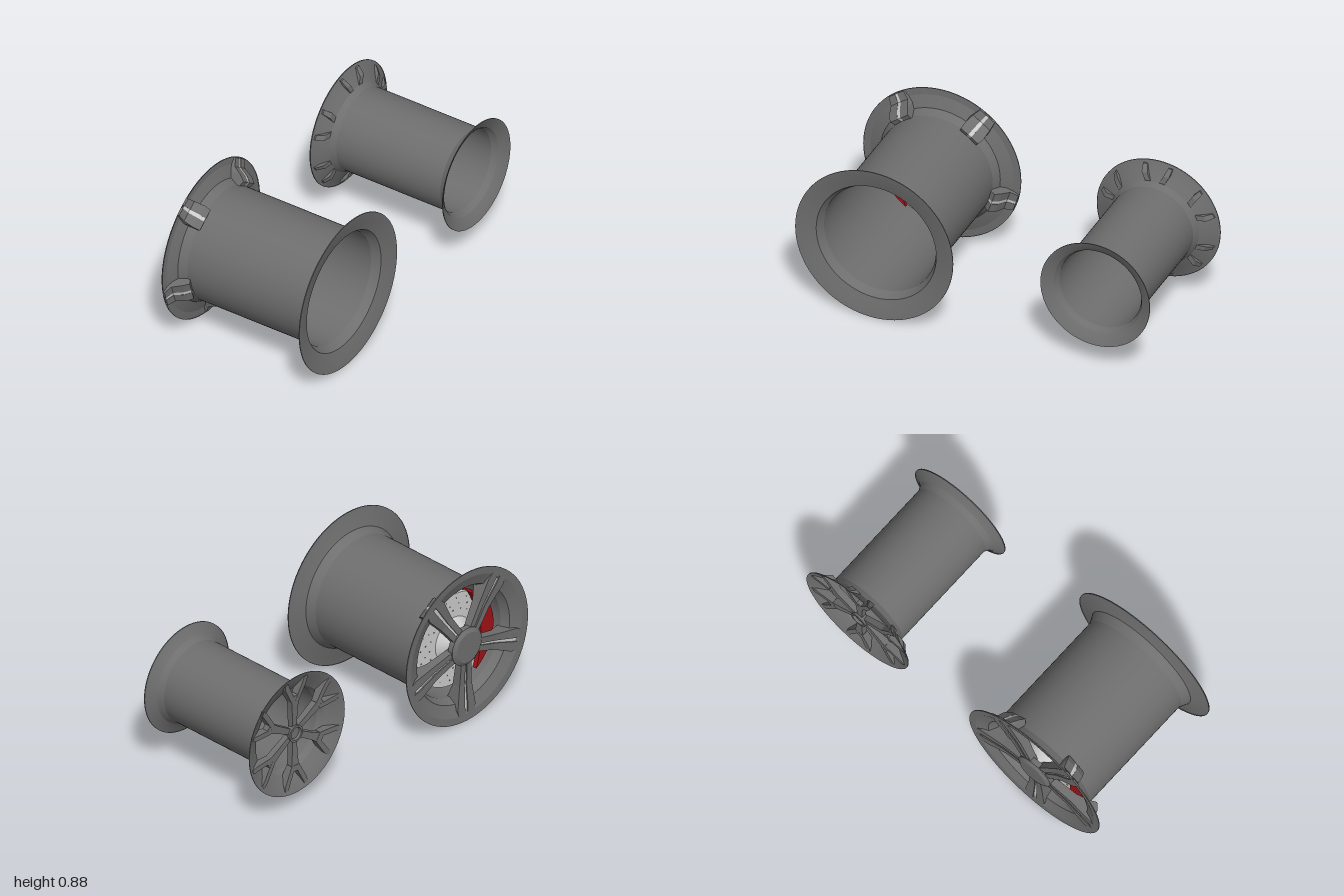
import * as THREE from 'three';
import { toCreasedNormals } from 'three/addons/utils/BufferGeometryUtils.js';

const material = (color) => new THREE.MeshStandardMaterial({ color, side: THREE.DoubleSide });
const dark = material(0x6e6e6e);
const light = material(0xcccccc);
const red = material(0xa01215);

function addMesh(parent, name, geometry, mat) {
  const mesh = new THREE.Mesh(geometry, mat);
  mesh.name = name;
  parent.add(mesh);
  return mesh;
}

// Turned part around the x axis; profile is a list of [x, radius]
function turned(profile) {
  const points = profile.map(([x, r]) => new THREE.Vector2(r, x));
  const g = new THREE.LatheGeometry(points, 72);
  g.rotateZ(-Math.PI / 2);
  return toCreasedNormals(g, 0.25);
}

// Four-sided bar along +y; each section is [radius, frontX, backX, halfWidth, sideOffset]
function bar(sections) {
  const pos = [], idx = [];
  for (const [r, x0, x1, w, t = 0] of sections) {
    pos.push(x0, r, t - w, x1, r, t - w, x1, r, t + w, x0, r, t + w);
  }
  for (let s = 0; s < sections.length - 1; s++) {
    for (let k = 0; k < 4; k++) {
      const a = s * 4 + k, b = s * 4 + (k + 1) % 4;
      idx.push(a, a + 4, b, b, a + 4, b + 4);
    }
  }
  const e = (sections.length - 1) * 4;
  idx.push(0, 1, 2, 0, 2, 3, e, e + 2, e + 1, e, e + 3, e + 2);
  const g = new THREE.BufferGeometry();
  g.setAttribute('position', new THREE.Float32BufferAttribute(pos, 3));
  g.setIndex(idx);
  const flat = g.toNonIndexed();
  flat.computeVertexNormals();
  return flat;
}

// Repeat a set of bars around the wheel axis
function spokes(parent, count, start, parts) {
  for (let i = 0; i < count; i++) {
    const spoke = new THREE.Group();
    spoke.name = 'spoke';
    spoke.rotation.x = start + (i * Math.PI * 2) / count;
    for (const [name, geometry, mat] of parts) addMesh(spoke, name, geometry, mat);
    parent.add(spoke);
  }
}

function largeWheel() {
  const wheel = new THREE.Group();
  wheel.name = 'largeWheel';

  addMesh(wheel, 'rim', turned([
    [-0.416, 0.44], [-0.421, 0.44], [-0.418, 0.40], [-0.393, 0.335], [-0.35, 0.312],
    [0.355, 0.312], [0.402, 0.335], [0.423, 0.405], [0.429, 0.44], [0.424, 0.44],
  ]), dark);

  // Spoke: two dark ribs with a pale strip in the groove between them
  const path = [
    [0.05, -0.418, -0.38, 0.034], [0.23, -0.41, -0.36, 0.044], [0.305, -0.414, -0.335, 0.055],
    [0.335, -0.416, -0.318, 0.06], [0.362, -0.417, -0.345, 0.064], [0.39, -0.418, -0.395, 0.058],
    [0.434, -0.42, -0.411, 0.05],
  ];
  const rib = (side) => bar(path.map(([r, a, b, w]) => [r, a, b, w * 0.42, side * w * 0.58]));
  const strip = bar(path.map(([r, a, b, w]) => [r, a + 0.007, b - 0.002, w * 0.17]));
  spokes(wheel, 5, Math.PI, [
    ['spokeRib', rib(1), dark], ['spokeRib', rib(-1), dark], ['spokeStrip', strip, light],
  ]);

  // Hub
  addMesh(wheel, 'hubCap', turned([[-0.433, 0], [-0.433, 0.085], [-0.42, 0.107], [-0.39, 0.107], [-0.39, 0]]), dark);
  addMesh(wheel, 'hubCone', turned([[-0.40, 0.07], [-0.37, 0.085], [-0.318, 0.13]]), light);

  // Brake disc with its ring of drillings
  addMesh(wheel, 'brakeDisc', turned([[-0.32, 0], [-0.32, 0.265], [-0.30, 0.265], [-0.30, 0]]), light);
  const hole = new THREE.CylinderGeometry(0.004, 0.004, 0.002, 8).rotateZ(Math.PI / 2);
  for (let ring = 0; ring < 3; ring++) {
    for (let i = 0; i < 20; i++) {
      const a = ((i + ring / 3) / 20) * Math.PI * 2, r = 0.17 + ring * 0.033;
      addMesh(wheel, 'discHole', hole, dark).position.set(-0.3205, Math.sin(a) * r, Math.cos(a) * r);
    }
  }

  // Brake caliper hugging the disc edge
  const shape = new THREE.Shape();
  shape.absarc(0, 0, 0.267, -1.01, 1.19, false);
  shape.quadraticCurveTo(0.23, 0.02, 0.267 * Math.cos(-1.01), 0.267 * Math.sin(-1.01));
  const caliper = new THREE.ExtrudeGeometry(shape, { depth: 0.065, bevelEnabled: false, curveSegments: 24 });
  caliper.rotateY(-Math.PI / 2).translate(-0.28, 0, 0);
  addMesh(wheel, 'brakeCaliper', toCreasedNormals(caliper, 0.4), red);
  return wheel;
}

function smallWheel() {
  const wheel = new THREE.Group();
  wheel.name = 'smallWheel';

  addMesh(wheel, 'rim', turned([
    [-0.400, 0.345], [-0.405, 0.345], [-0.398, 0.325], [-0.372, 0.278], [-0.352, 0.245], [-0.32, 0.228],
    [0.322, 0.228], [0.355, 0.245], [0.376, 0.275], [0.389, 0.305], [0.384, 0.305],
  ]), dark);

  // Spoke: a stem that widens outwards and forks in two before the rim
  const stem = bar([[0.0, -0.385, -0.355, 0.014], [0.14, -0.39, -0.355, 0.02], [0.225, -0.395, -0.36, 0.028]]);
  const arm = (s) => bar([
    [0.19, -0.394, -0.358, 0.014, s * 0.013], [0.25, -0.397, -0.352, 0.016, s * 0.042],
    [0.285, -0.399, -0.358, 0.016, s * 0.06], [0.318, -0.401, -0.39, 0.012, s * 0.07],
  ]);
  spokes(wheel, 6, 0, [
    ['spokeStem', stem, dark], ['spokeArm', arm(1), dark], ['spokeArm', arm(-1), dark],
  ]);

  // Hub ring with a recessed centre
  addMesh(wheel, 'hub', turned([
    [-0.385, 0], [-0.385, 0.032], [-0.4, 0.036], [-0.4, 0.048], [-0.36, 0.04], [-0.36, 0],
  ]), dark);
  return wheel;
}

export function createModel() {
  const model = new THREE.Group();
  model.name = 'wheelPair';
  const front = largeWheel();
  front.position.set(0, 0.443, 0.56);
  const rear = smallWheel();
  rear.position.set(0, 0.443, -0.655);
  model.add(front, rear);
  return model;
}
